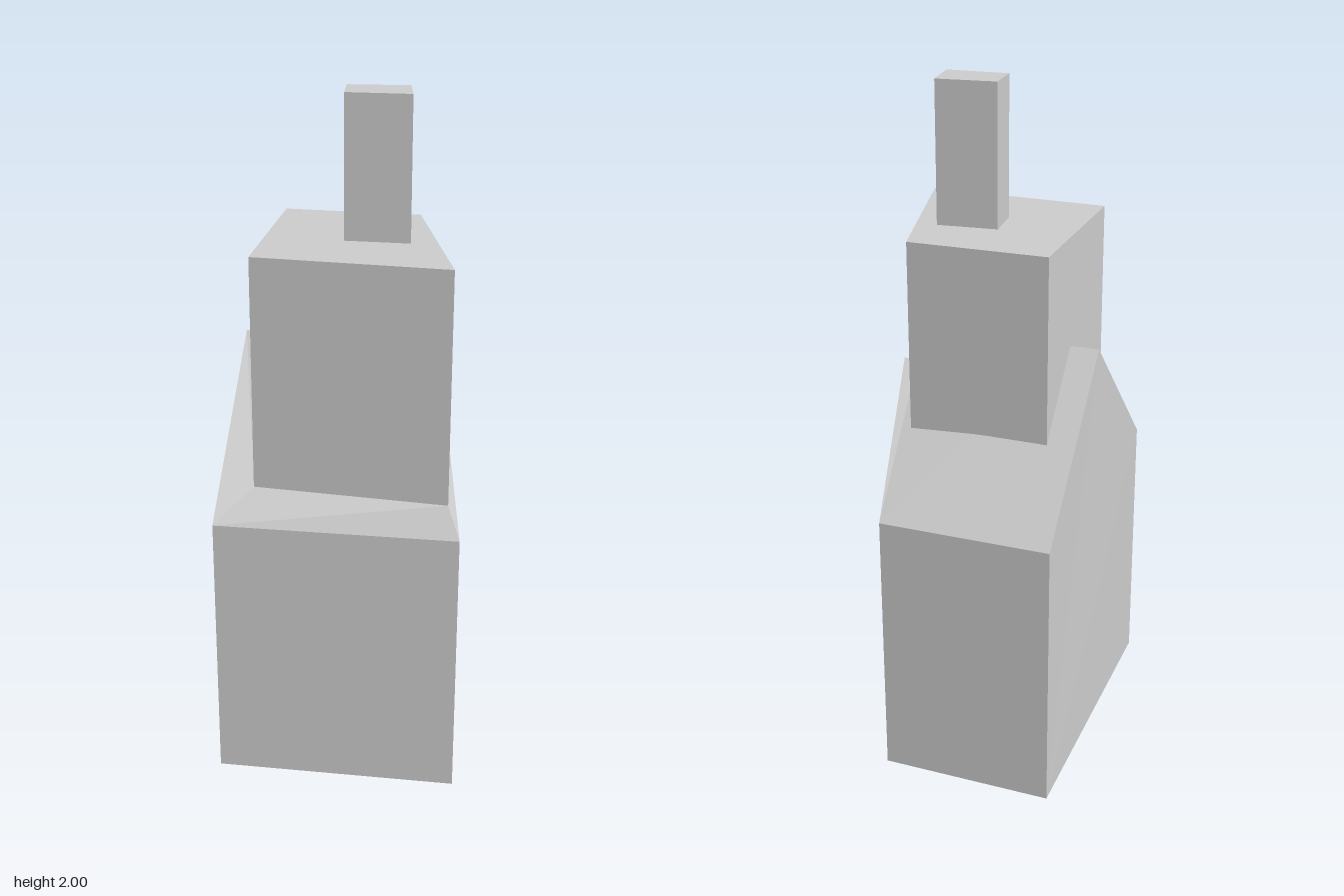
import * as THREE from 'three';

const material = new THREE.MeshStandardMaterial({ color: 0xcccccc, flatShading: true });

function addMesh(parent, name, geometry) {
  const mesh = new THREE.Mesh(geometry, material);
  mesh.name = name;
  parent.add(mesh);
}

// Upright block over an [x, z] footprint
function block(footprint, bottom, top) {
  const shape = new THREE.Shape(footprint.map(([x, z]) => new THREE.Vector2(x, -z)));
  return new THREE.ExtrudeGeometry(shape, { depth: top - bottom, bevelEnabled: false })
    .rotateX(-Math.PI / 2)
    .translate(0, bottom, 0);
}

// Flat polygons, corners counter-clockwise from outside, cut into fans
function facets(polygons) {
  const positions = [];
  for (const p of polygons) {
    for (let i = 1; i < p.length - 1; i++) positions.push(...p[0], ...p[i], ...p[i + 1]);
  }
  const geometry = new THREE.BufferGeometry();
  geometry.setAttribute('position', new THREE.Float32BufferAttribute(positions, 3));
  geometry.computeVertexNormals();
  return geometry;
}

export function createModel() {
  const model = new THREE.Group();
  model.name = 'gabledTower';

  // Footprints run back, left, front, right
  const house = [[-0.14, -0.52], [-0.56, -0.22], [0, 0.52], [0.56, 0.08]];
  const tower = [[-0.01, -0.335], [-0.355, -0.09], [0.01, 0.37], [0.49, 0.055]];
  const chimney = [[0.1, -0.17], [-0.04, -0.05], [0.06, 0.055], [0.215, -0.06]];

  const [a0, b0, c0, d0] = house.map(([x, z]) => [x, 0, z]);
  const [a, b, c, d] = house.map(([x, z]) => [x, 0.81, z]);
  const [, , cIn, dIn] = tower.map(([x, z]) => [x, 0.89, z]);

  // Gable peaks and where their ridges meet the tower
  const leftPeak = [-0.285, 1.25, 0.14], leftRidge = [-0.205, 1.25, 0.085];
  const rightPeak = [0.155, 1.17, -0.258], rightRidge = [0.13, 1.17, -0.226];

  addMesh(model, 'houseWalls', facets([
    [a0, b0, b, a],
    [b0, c0, c, leftPeak, b],
    [c0, d0, d, c],
    [d0, a0, a, rightPeak, d],
    [d0, c0, b0, a0],
  ]));

  addMesh(model, 'houseRoof', facets([
    [a, b, leftPeak, leftRidge, rightRidge, rightPeak],
    [leftPeak, c, cIn, leftRidge],
    [c, d, dIn, cIn],
    [d, rightPeak, rightRidge, dIn],
  ]));

  addMesh(model, 'tower', block(tower, 0.85, 1.58));
  addMesh(model, 'chimney', block(chimney, 1.58, 2));
  return model;
}
